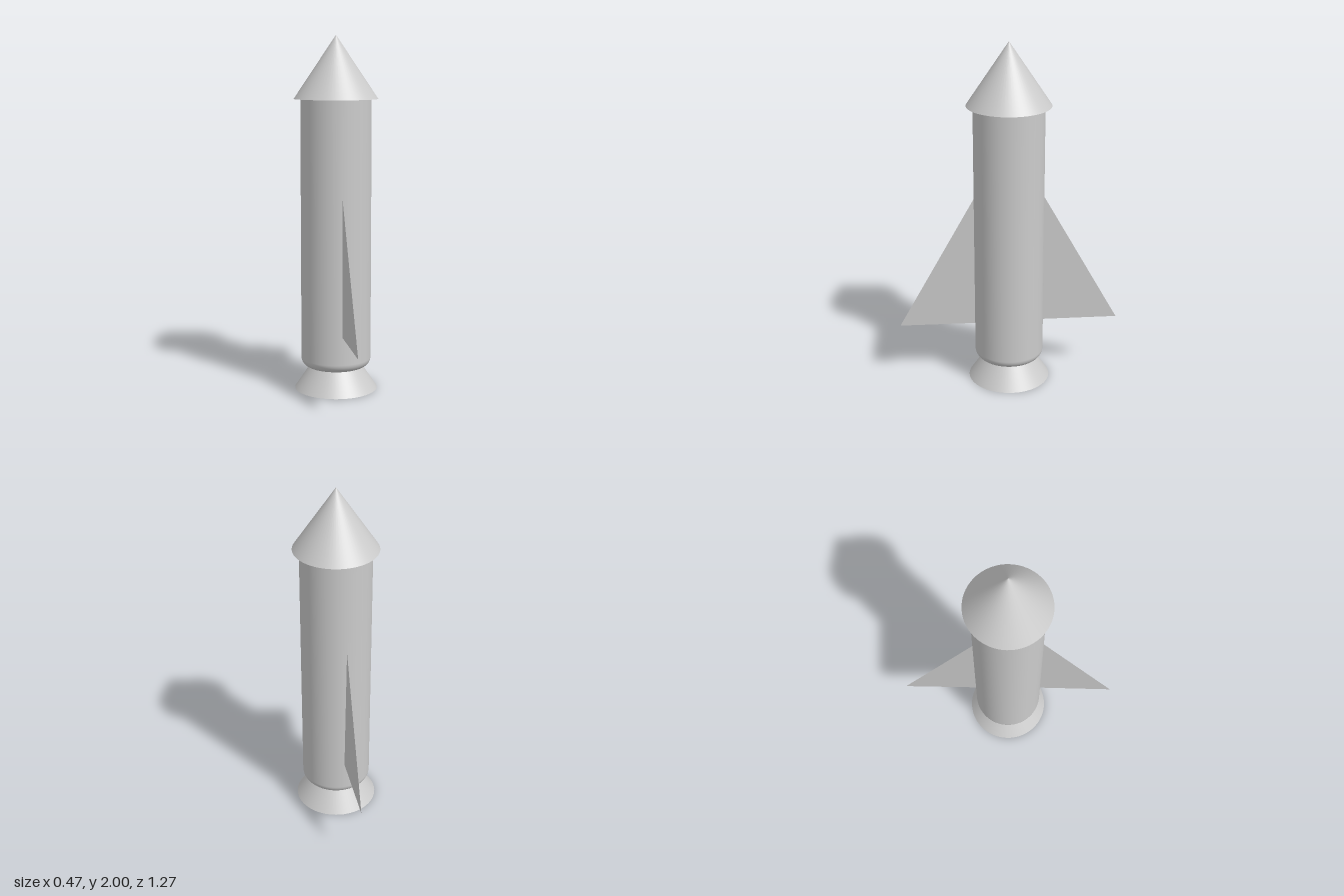
import * as THREE from 'three';

const SEG = 64;

export function createModel() {
  const group = new THREE.Group();
  const material = new THREE.MeshStandardMaterial({ color: 0xcccccc });
  const thin = new THREE.MeshStandardMaterial({ color: 0xcccccc, side: THREE.DoubleSide });

  const add = (name, geometry, mat = material, y = 0) => {
    const mesh = new THREE.Mesh(geometry, mat);
    mesh.name = name;
    mesh.position.y = y;
    group.add(mesh);
  };

  // Nose and exhaust are equal cones; the exhaust tip is buried in the body
  const coneHeight = 0.35;
  add('noseCone', new THREE.ConeGeometry(0.235, coneHeight, SEG), material, 2 - coneHeight / 2);
  add('exhaustCone', new THREE.ConeGeometry(0.235, coneHeight, SEG), material, coneHeight / 2);

  // Tube body with rounded rims
  const radius = 0.198, bottom = 0.13, top = 1.7, round = 0.05;
  const profile = new THREE.Path();
  profile.moveTo(0, bottom);
  profile.lineTo(radius - round, bottom);
  profile.absarc(radius - round, bottom + round, round, -Math.PI / 2, 0, false);
  profile.lineTo(radius, top - round);
  profile.absarc(radius - round, top - round, round, 0, Math.PI / 2, false);
  profile.lineTo(0, top);
  add('body', new THREE.LatheGeometry(profile.getPoints(8), SEG));

  // Paper-thin triangular fins: root top, root bottom, outer tip
  const fin = (name, corners) => {
    const geometry = new THREE.BufferGeometry();
    geometry.setAttribute('position', new THREE.Float32BufferAttribute(corners.flat(), 3));
    geometry.computeVertexNormals();
    add(name, geometry, thin);
  };
  fin('frontFin', [[0, 1.12, 0.195], [0, 0.34, 0.195], [0, 0.34, 0.633]]);
  fin('backFin', [[-0.021, 1.12, -0.195], [-0.01, 0.345, -0.198], [-0.013, 0.345, -0.633]]);

  return group;
}
